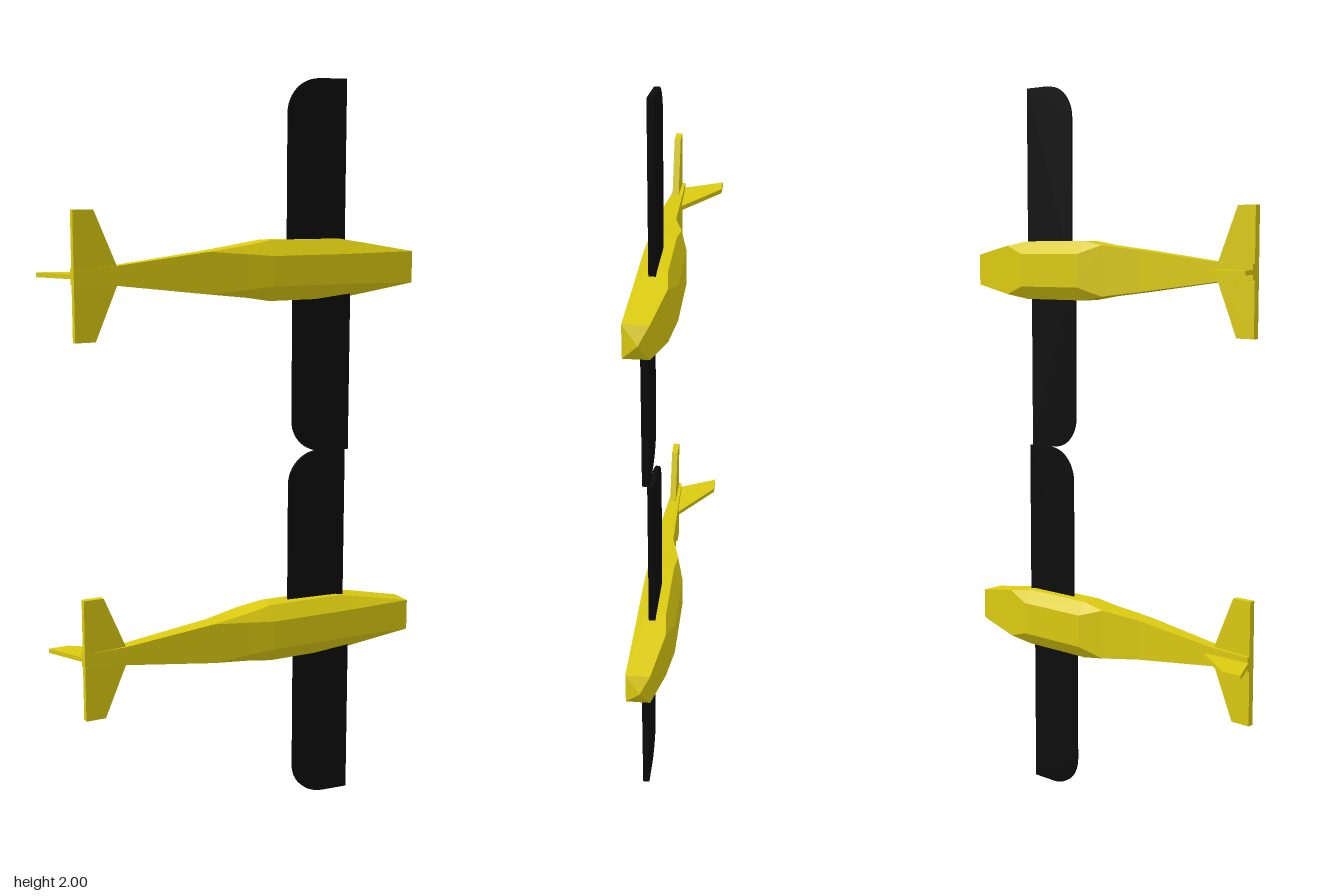
import * as THREE from 'three';

const yellow = new THREE.MeshStandardMaterial({ color: 0xdccb10 });
yellow.name = 'yellow paint';
const black = new THREE.MeshStandardMaterial({ color: 0x0c0c0c });
black.name = 'black wing';

function part(name, geometry, material) {
  const mesh = new THREE.Mesh(geometry, material);
  mesh.name = name;
  return mesh;
}

// Faceted skin through equal-length rings, ordered from tail to nose
function loft(rings) {
  const out = [];
  const tri = new THREE.Triangle();
  const add = (a, b, c) => {
    tri.set(a, b, c);
    if (tri.getArea() > 1e-8) for (const p of [a, b, c]) out.push(p.x, p.y, p.z);
  };
  for (let i = 0; i + 1 < rings.length; i++) {
    const A = rings[i], B = rings[i + 1], n = A.length;
    for (let j = 0; j < n; j++) {
      const k = (j + 1) % n;
      add(A[j], A[k], B[j]);
      add(A[k], B[k], B[j]);
    }
  }
  const g = new THREE.BufferGeometry();
  g.setAttribute('position', new THREE.Float32BufferAttribute(out, 3));
  g.computeVertexNormals();
  return g;
}

// Eight-cornered section: canopy (half width t at z0), sides (w, z1 to z2), belly (b at z3)
function section([x, t, z0, w, z1, z2, b, z3]) {
  return [[w, z2], [b, z3], [-b, z3], [-w, z2], [-w, z1], [-t, z0], [t, z0], [w, z1]]
    .map(([y, z]) => new THREE.Vector3(x, y, z));
}

function fuselageGeometry() {
  return loft([
    [-0.475, 0, 0.033, 0, 0.033, 0.033, 0, 0.033],
    [-0.475, 0.02, 0.02, 0.02, 0.02, 0.045, 0.02, 0.045],
    [-0.36, 0.025, 0.018, 0.025, 0.018, 0.05, 0.025, 0.05],
    [-0.11, 0.055, 0.01, 0.055, 0.01, 0.062, 0.055, 0.062],
    [0, 0.068, -0.015, 0.068, -0.015, 0.053, 0.046, 0.068],
    [0.072, 0.045, -0.034, 0.08, -0.01, 0.047, 0.04, 0.073],
    [0.287, 0.045, -0.034, 0.08, -0.01, 0.047, 0.04, 0.073],
    [0.36, 0.068, -0.017, 0.068, -0.017, 0.054, 0.041, 0.073],
    [0.503, 0.043, 0.009, 0.043, 0.009, 0.073, 0.043, 0.073],
    [0.524, 0, 0.034, 0, 0.034, 0.034, 0, 0.034],
  ].map(section));
}

// Wing with a rounded trailing corner, thin at the back and thick at the front
function wingGeometry() {
  const s = new THREE.Shape();
  s.moveTo(0.14, 0);
  s.lineTo(0.31, 0);
  s.lineTo(0.31, 0.5);
  s.lineTo(0.235, 0.5);
  s.absellipse(0.235, 0.41, 0.095, 0.09, Math.PI / 2, Math.PI, false);
  s.closePath();
  const g = new THREE.ExtrudeGeometry(s, { depth: 1, bevelEnabled: false, curveSegments: 6 });
  const p = g.attributes.position;
  for (let i = 0; i < p.count; i++) {
    const thick = 0.005 + 0.013 * (p.getX(i) - 0.14) / 0.17;
    p.setZ(i, 0.016 + p.getZ(i) * thick);
  }
  g.computeVertexNormals();
  return g;
}

function plate(points, thickness) {
  const s = new THREE.Shape(points.map(([x, y]) => new THREE.Vector2(x, y)));
  return new THREE.ExtrudeGeometry(s, { depth: thickness, bevelEnabled: false });
}

function makePlane() {
  const plane = new THREE.Group();
  plane.add(part('fuselage', fuselageGeometry(), yellow));

  // Tailplane spanning both sides
  const tail = plate([[-0.475, -0.165], [-0.42, -0.165], [-0.36, -0.025], [-0.36, 0.025],
    [-0.42, 0.165], [-0.475, 0.165]], 0.017);
  tail.translate(0, 0, 0.028);
  plane.add(part('tailplane', tail, yellow));

  // Swept fin standing on the back of the fuselage
  const fin = plate([[-0.33, -0.018], [-0.475, 0.083], [-0.53, 0.083], [-0.475, -0.025],
    [-0.36, -0.03]], 0.012);
  fin.translate(0, 0, -0.006);
  fin.rotateX(-Math.PI / 2);
  plane.add(part('fin', fin, yellow));

  // The far wing is the near one turned over, set slightly forward and lower
  plane.add(part('upperWing', wingGeometry(), black));
  const far = wingGeometry();
  far.translate(0, 0, -0.025);
  far.rotateX(Math.PI);
  const p = far.attributes.position;
  for (let i = 0; i < p.count; i++) {
    // keep the flat face towards the canopy
    p.setZ(i, 0.041 - p.getZ(i) - 0.025 + 0.005);
  }
  const a = p.array;
  // restore outward faces after the reflection
  for (let i = 0; i < a.length; i += 9) {
    for (let k = 0; k < 3; k++) [a[i + 3 + k], a[i + 6 + k]] = [a[i + 6 + k], a[i + 3 + k]];
  }
  far.translate(0.007, 0, 0.025);
  far.computeVertexNormals();
  plane.add(part('lowerWing', far, black));
  return plane;
}

export function createModel() {
  const model = new THREE.Group();
  [1.5, 0.5].forEach((y, i) => {
    const plane = makePlane();
    plane.name = i ? 'lowerPlane' : 'upperPlane';
    plane.position.set(i * 0.005, y, i * 0.008);
    model.add(plane);
  });
  return model;
}
